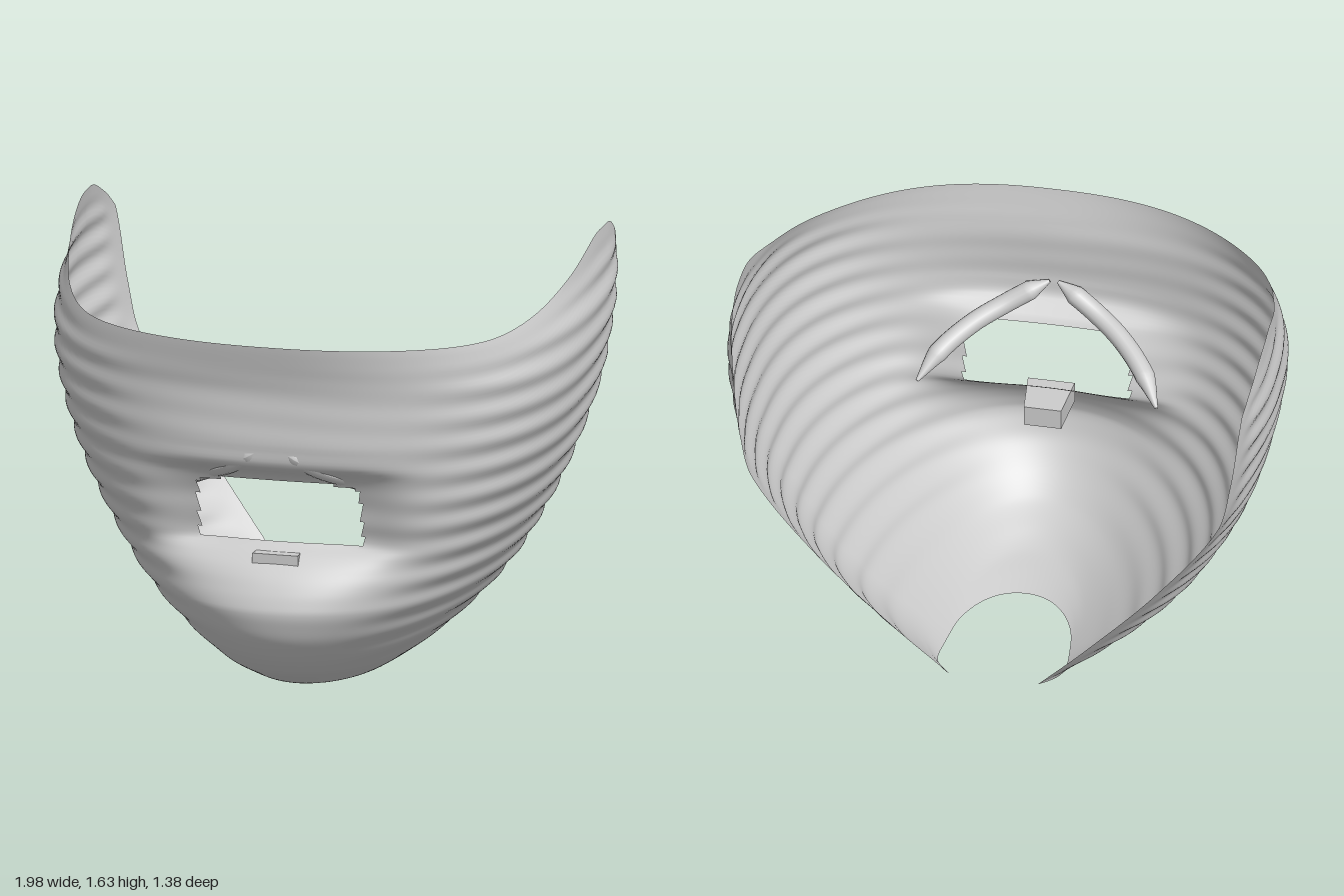
import * as THREE from 'three';

// Smooth lookup through [key, value] pairs with ascending keys
function table(pts) {
  const slope = (i) => {
    const a = pts[Math.max(i - 1, 0)], b = pts[Math.min(i + 1, pts.length - 1)];
    return (b[1] - a[1]) / (b[0] - a[0]);
  };
  return (k) => {
    if (k <= pts[0][0]) return pts[0][1];
    for (let i = 0; i < pts.length - 1; i++) {
      const [k0, v0] = pts[i], [k1, v1] = pts[i + 1];
      if (k > k1) continue;
      const h = k1 - k0, t = (k - k0) / h, t2 = t * t, t3 = t2 * t;
      return v0 * (2 * t3 - 3 * t2 + 1) + slope(i) * h * (t3 - 2 * t2 + t)
        + v1 * (3 * t2 - 2 * t3) + slope(i + 1) * h * (t3 - t2);
    }
    return pts[pts.length - 1][1];
  };
}

// Horizontal sections by height: half width, front z, rear edge z and rear edge x
const halfWidth = table([[0, 0.18], [0.02, 0.22], [0.1, 0.34], [0.2, 0.46], [0.4, 0.645], [0.6, 0.77],
  [0.8, 0.865], [1, 0.93], [1.2, 0.97], [1.35, 0.985], [1.5, 0.97], [1.63, 0.955]]);
const frontZ = table([[0, 0.1], [0.02, 0.2], [0.04, 0.3], [0.08, 0.4], [0.13, 0.5], [0.22, 0.6], [0.3, 0.655],
  [0.38, 0.68], [0.5, 0.67], [0.6, 0.66], [0.8, 0.655], [1, 0.655], [1.2, 0.65], [1.3, 0.67], [1.4, 0.69], [1.63, 0.7]]);
const rearZ = table([[0.08, -0.51], [0.3, -0.57], [0.65, -0.65], [1, -0.69], [1.2, -0.685], [1.45, -0.655],
  [1.55, -0.61], [1.62, -0.54]]);
const rearX = table([[0.08, 0.16], [0.3, 0.34], [0.65, 0.61], [1, 0.84], [1.2, 0.89], [1.45, 0.92], [1.63, 0.94]]);
// Depth of the widest point, squareness of the front arc, and the hollow around the mouth
const sideZ = table([[0, -0.2], [1.15, -0.2], [1.35, -0.28], [1.5, -0.38], [1.6, -0.4]]);
const squareness = table([[0, 2], [0.3, 2.05], [0.6, 2.3], [0.9, 2.5], [1.2, 2.6], [1.35, 2.4], [1.5, 2.2]]);
const mouthHollow = table([[0.4, 0], [0.46, 0.015], [0.54, 0.06], [0.58, 0.1], [0.62, 0.15], [0.7, 0.14],
  [0.8, 0.115], [0.88, 0.07], [0.93, 0.012], [1, 0]]);
// Height of the top and throat rims by depth
const topRim = table([[-0.65, 1.48], [-0.6, 1.56], [-0.5, 1.615], [-0.3, 1.625], [-0.2, 1.605], [0, 1.52],
  [0.2, 1.44], [0.4, 1.39], [0.7, 1.38]]);
const throatRim = table([[-0.51, 0.08], [-0.3, 0.03], [-0.1, 0.012], [0.1, 0]]);

const FRONT_SHARE = 0.68;

// Point on the section at height y; s runs from 0 (front centre) to 1 (rear edge)
function sectionPoint(s, y) {
  const w = halfWidth(y), zs = sideZ(y);
  if (s <= FRONT_SHARE) {
    const a = (s / FRONT_SHARE) * Math.PI / 2, p = 2 / squareness(y);
    const x = w * Math.sin(a) ** p;
    const z = zs + (frontZ(y) - zs) * Math.max(Math.cos(a), 0) ** p;
    return [x, z - mouthHollow(y) * Math.exp(-((x / 0.43) ** 4))];
  }
  const b = (s - FRONT_SHARE) / (1 - FRONT_SHARE);
  return [w + (rearX(y) - w) * b * b, zs + (rearZ(y) - zs) * b];
}

function beardShell() {
  const cols = 220, rows = 140, pos = [], idx = [], step = THREE.MathUtils.smoothstep;
  for (let j = 0; j <= rows; j++) {
    const t = (j / rows) ** 1.5;
    for (let i = 0; i <= cols; i++) {
      const u = (i / cols) * 2 - 1, s = Math.abs(u), sign = Math.sign(u);
      const yTop = topRim(sectionPoint(s, 1.5)[1]);
      const yLow = throatRim(sectionPoint(s, s > FRONT_SHARE ? 0.08 : 0)[1]);
      const y = yLow + t * (yTop - yLow);
      let [x, z] = sectionPoint(s, y);
      // Wavy hair bands, fading towards the rims, the rear edge and the lips
      const fade = step(y, 0.05, 0.3) * step(yTop - y, 0.03, 0.14)
        * step(1 - s, 0.02, 0.12) * (0.15 + 0.85 * step(s, 0.15, 0.45));
      const wave = 0.007 * fade * Math.sin((y + 0.08 * z + 0.05 * x * sign * (1 - s)) * 2 * Math.PI / 0.105);
      const outZ = z + 0.2, len = Math.hypot(x, outZ);
      x += wave * x / len;
      z += wave * outZ / len;
      pos.push(x * sign, y, z);
    }
  }
  for (let j = 0; j < rows; j++) for (let i = 0; i < cols; i++) {
    const a = j * (cols + 1) + i, b = a + 1, c = a + cols + 1, d = c + 1;
    // Leave the mouth open
    const cx = Math.abs(pos[a * 3] + pos[b * 3]) / 2, cy = (pos[a * 3 + 1] + pos[c * 3 + 1]) / 2;
    if (pos[a * 3 + 2] > 0 && cx < 0.3 && cy > 0.615 && cy < 0.86 - 0.15 * Math.max(cx - 0.15, 0)) continue;
    idx.push(a, b, d, a, d, c);
  }
  const g = new THREE.BufferGeometry();
  g.setAttribute('position', new THREE.Float32BufferAttribute(pos, 3));
  g.setIndex(idx);
  g.computeVertexNormals();
  return g;
}

// Curved tube whose radius follows a rule along its length
function taperedTube(points, radiusAt) {
  const curve = new THREE.CatmullRomCurve3(points.map((p) => new THREE.Vector3(...p)));
  const segs = 40, sides = 14;
  const g = new THREE.TubeGeometry(curve, segs, 1, sides);
  const p = g.attributes.position, v = new THREE.Vector3();
  for (let i = 0; i < p.count; i++) {
    const t = Math.floor(i / (sides + 1)) / segs, c = curve.getPointAt(t);
    v.fromBufferAttribute(p, i).sub(c).multiplyScalar(radiusAt(t)).add(c);
    p.setXYZ(i, v.x, v.y, v.z);
  }
  g.computeVertexNormals();
  return g;
}

export function createModel() {
  const model = new THREE.Group();
  const material = new THREE.MeshStandardMaterial({ color: 0xcccccc, side: THREE.DoubleSide });
  const add = (name, geometry) => {
    const mesh = new THREE.Mesh(geometry, material);
    mesh.name = name;
    model.add(mesh);
    return mesh;
  };

  add('beard', beardShell());

  // Moustache halves sweep down and back from the centre
  const whisker = taperedTube(
    [[0.015, 1, 0.64], [0.08, 0.965, 0.62], [0.17, 0.915, 0.585], [0.27, 0.87, 0.515], [0.37, 0.81, 0.41], [0.435, 0.74, 0.31]],
    (t) => 0.006 + 0.03 * Math.min(1, t * 8, (1 - t) * 5));
  add('moustacheLeft', whisker);
  add('moustacheRight', whisker).scale.x = -1;

  // Tuft under the lower lip, narrowing towards the back
  const tuft = new THREE.BoxGeometry(0.17, 0.08, 0.17);
  const p = tuft.attributes.position;
  for (let i = 0; i < p.count; i++) if (p.getZ(i) < 0) p.setX(i, p.getX(i) * 0.8);
  const lipTuft = add('lipTuft', tuft);
  lipTuft.position.set(0, 0.55, 0.505);
  return model;
}
